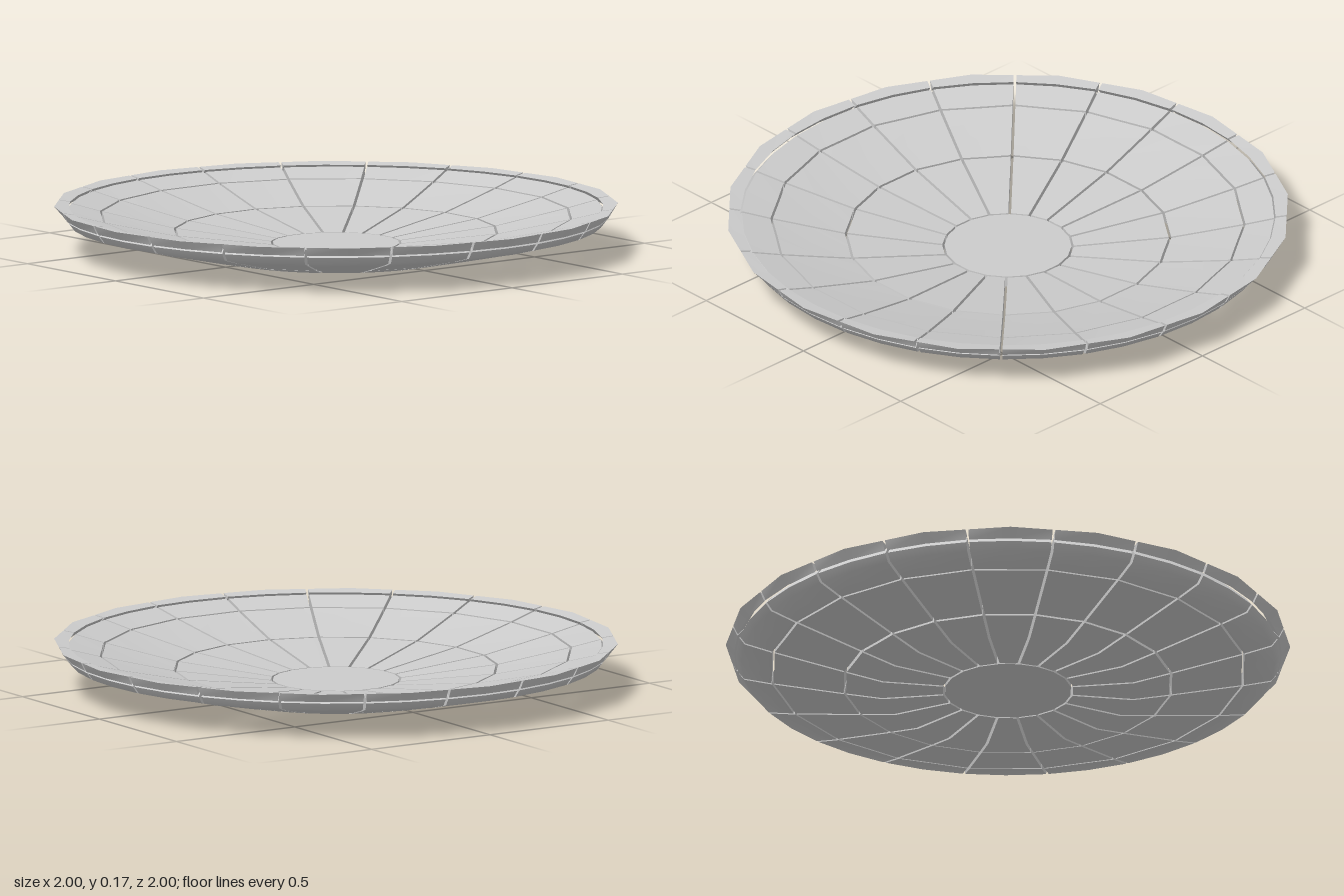
import * as THREE from 'three';
import { mergeVertices, toCreasedNormals } from 'three/addons/utils/BufferGeometryUtils.js';

const SIDES = 20;
const HALF = Math.PI / SIDES;
const GAP = 0.005; // half the slit between neighbouring panels
const C = Math.cos(HALF);

// Section points [radius at the panel's middle, height, radius at its sides].
const chord = (r, y) => [r, y, r / C];   // straight edge across the panel
const round = (r, y) => [r, y, r];       // follows the circle
const peak = (r, y) => [r, y, r * C];    // corner in the middle of the panel

// Closed panel swept through three stations around the axis; section runs anticlockwise.
function panelGeometry(section) {
  const pos = [], index = [], n = section.length;
  for (const j of [-1, 0, 1]) {
    const a = j * HALF;
    for (const [rMid, y, rSide] of section) {
      const r = j === 0 ? rMid : rSide;
      pos.push(
        r * Math.sin(a) - j * GAP * Math.cos(a),
        y,
        r * Math.cos(a) + Math.abs(j) * GAP * Math.sin(HALF)
      );
    }
  }
  for (let s = 0; s < 2; s++) {
    for (let i = 0; i < n; i++) {
      const k = (i + 1) % n;
      const p0 = s * n + i, q0 = s * n + k, p1 = p0 + n, q1 = q0 + n;
      index.push(p0, p1, q1, p0, q1, q0);
    }
  }
  // end caps
  const outline = section.map(([r, y]) => new THREE.Vector2(r, y));
  for (const [a, b, c] of THREE.ShapeUtils.triangulateShape(outline, [])) {
    index.push(a, b, c, 2 * n + a, 2 * n + c, 2 * n + b);
  }
  const g = new THREE.BufferGeometry();
  g.setAttribute('position', new THREE.Float32BufferAttribute(pos, 3));
  g.setIndex(index);
  return toCreasedNormals(mergeVertices(g), 0.8);
}

export function createModel() {
  const model = new THREE.Group();
  model.name = 'panelledDish';
  const material = new THREE.MeshStandardMaterial({ color: 0xcccccc });

  // central hub plate
  const hubGeometry = new THREE.CylinderGeometry(0.225, 0.225, 0.04, SIDES, 1, false, HALF);
  const hub = new THREE.Mesh(toCreasedNormals(hubGeometry, 0.6), material);
  hub.name = 'hubPlate';
  hub.position.y = 0.02;
  model.add(hub);

  // rings of panels from the hub to the rim
  const rings = {
    innerPanel: [
      chord(0.23, 0), round(0.45, 0), chord(0.572, 0.027),
      chord(0.562, 0.08), chord(0.23, 0.04),
    ],
    middlePanel: [
      chord(0.581, 0.029), chord(0.828, 0.084),
      chord(0.823, 0.136), peak(0.7, 0.105), chord(0.571, 0.081),
    ],
    outerPanel: [
      chord(0.836, 0.085), round(0.945, 0.11), round(0.965, 0.136),
      round(0.943, 0.163), chord(0.831, 0.138),
    ],
    rimPanel: [
      round(0.971, 0.143), peak(1.0, 0.175), round(0.948, 0.169),
    ],
  };

  for (const [name, section] of Object.entries(rings)) {
    const geometry = panelGeometry(section);
    const ring = new THREE.Group();
    ring.name = name + 'Ring';
    for (let i = 0; i < SIDES; i++) {
      const panel = new THREE.Mesh(geometry, material);
      panel.name = name;
      panel.rotation.y = i * 2 * HALF;
      ring.add(panel);
    }
    model.add(ring);
  }
  return model;
}
